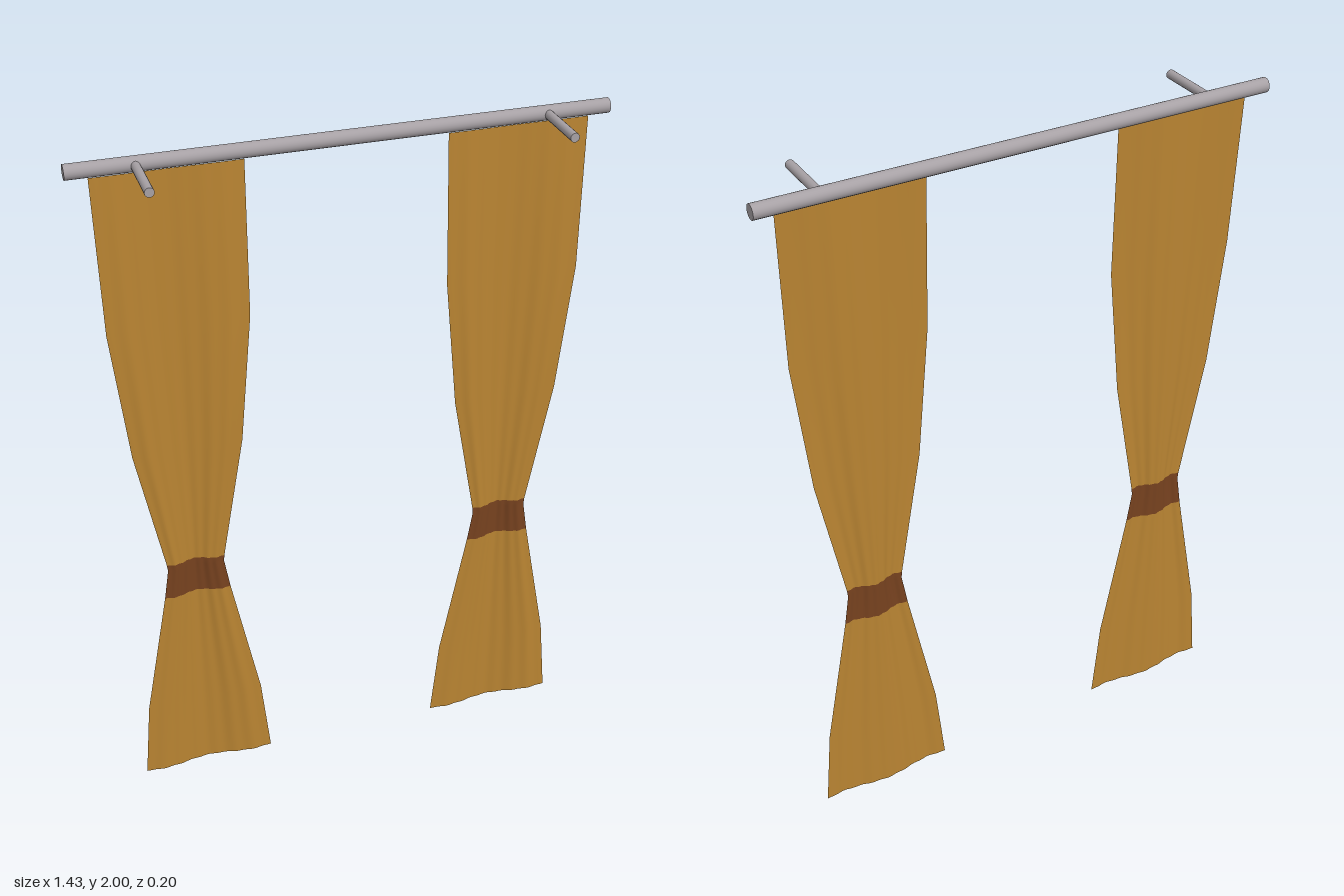
import * as THREE from 'three';
import { mergeVertices } from 'three/addons/utils/BufferGeometryUtils.js';

const mat = (name, color, side = THREE.FrontSide) => {
  const m = new THREE.MeshStandardMaterial({ color, side });
  m.name = name;
  return m;
};

// Rows of the drape from hem to rod: [height, half width, fold depth]
const ROWS = [
  [0, 0.198, 1], [0.25, 0.174, 1], [0.655, 0.097, 1], [0.75, 0.082, 1],
  [0.77, 0.084, 1], [1.15, 0.153, 1], [1.53, 0.19, 1], [1.96, 0.195, 0.1],
];
const COLS = 48;

// Fold profile across the cloth: two broad forward folds with a fine ripple
function fold(u) {
  const v = Math.abs(2 * u - 1);
  return 0.07 + 0.86 * (0.5 - 0.5 * Math.cos(Math.PI * v / 0.72)) + 0.07 * Math.cos(14 * Math.PI * u);
}

// One sheet of gathered cloth; the rows inside the tie get the second material
function drapeGeometry() {
  const geo = new THREE.PlaneGeometry(1, 1, COLS, ROWS.length - 1);
  const pos = geo.attributes.position;
  for (let i = 0; i < pos.count; i++) {
    const u = pos.getX(i) + 0.5;
    const row = Math.round((pos.getY(i) + 0.5) * (ROWS.length - 1));
    const [y, half, depth] = ROWS[row];
    pos.setXYZ(i, (2 * u - 1) * half, y, -0.075 + 0.02 * depth * fold(u));
  }
  geo.computeVertexNormals();
  // Index rows run from the rod downward
  for (let r = 0; r < ROWS.length - 1; r++) {
    const lower = ROWS.length - 2 - r;
    geo.addGroup(r * COLS * 6, COLS * 6, lower === 2 || lower === 3 ? 1 : 0);
  }
  return geo;
}

export function createModel() {
  const group = new THREE.Group();
  group.name = 'curtains';
  const cloth = mat('ochre cloth', 0xb98432, THREE.DoubleSide);
  const tie = mat('brown tie', 0x77421f, THREE.DoubleSide);
  const metal = mat('grey metal', 0xa7a1a5);

  // Rod
  const rod = new THREE.Mesh(new THREE.CylinderGeometry(0.02, 0.02, 1.435, 24), metal);
  rod.name = 'rod';
  rod.rotation.z = Math.PI / 2;
  rod.position.set(0, 1.98, -0.08);
  group.add(rod);

  const drape = drapeGeometry();
  for (const side of [-1, 1]) {
    const label = side > 0 ? 'left' : 'right';

    // Curtain with its tie band
    const curtain = new THREE.Mesh(drape, [cloth, tie]);
    curtain.name = label + 'Curtain';
    curtain.position.x = side * 0.465;
    group.add(curtain);

    // Bracket
    const bracket = new THREE.Mesh(new THREE.CylinderGeometry(0.0125, 0.0125, 0.18, 16), metal);
    bracket.name = label + 'Bracket';
    bracket.rotation.x = Math.PI / 2;
    bracket.position.set(side * 0.543, 1.98, 0.01);
    group.add(bracket);
  }
  return group;
}
